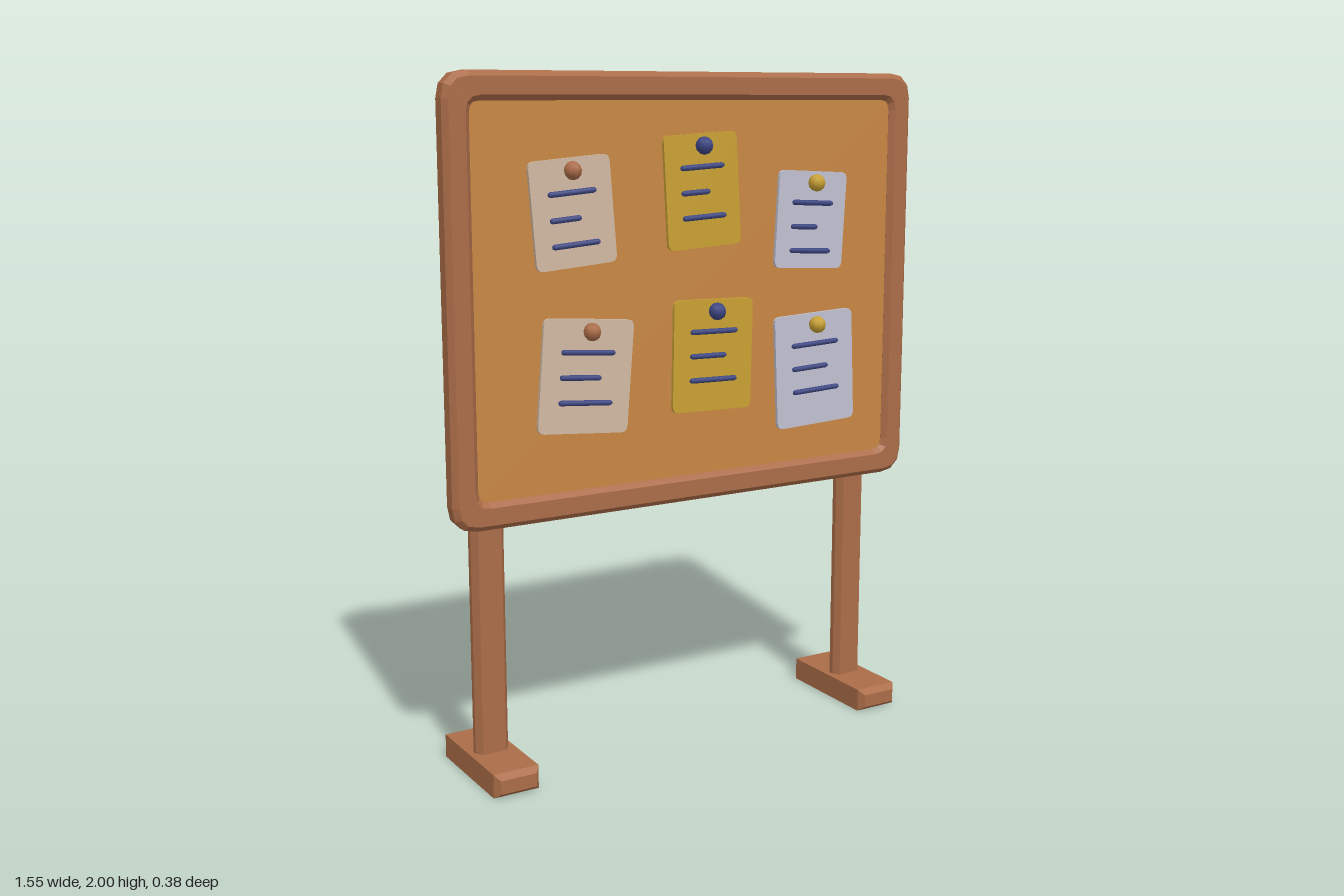
import * as THREE from 'three';

const mat = (name, color) => {
  const m = new THREE.MeshStandardMaterial({ color });
  m.name = name;
  return m;
};

// Rounded rectangle outline centred on the origin (plain rectangle when r = 0)
function roundedRect(w, h, r, PathType = THREE.Shape) {
  const p = new PathType();
  const x = w / 2, y = h / 2;
  p.moveTo(-x + r, -y);
  p.lineTo(x - r, -y);
  if (r) p.quadraticCurveTo(x, -y, x, -y + r);
  p.lineTo(x, y - r);
  if (r) p.quadraticCurveTo(x, y, x - r, y);
  p.lineTo(-x + r, y);
  if (r) p.quadraticCurveTo(-x, y, -x, y - r);
  p.lineTo(-x, -y + r);
  if (r) p.quadraticCurveTo(-x, -y, -x + r, -y);
  return p;
}

// Extrude along z, centred, with one chamfer step; depth is the total thickness
function extrude(shape, depth, bevel, bevelDepth = bevel) {
  const core = depth - 2 * bevelDepth;
  const g = new THREE.ExtrudeGeometry(shape, {
    depth: core, curveSegments: 3, bevelEnabled: bevel > 0,
    bevelSize: bevel, bevelThickness: bevelDepth, bevelSegments: 1,
  });
  return g.translate(0, 0, -core / 2);
}

export function createModel() {
  const model = new THREE.Group();
  model.name = 'noticeBoard';

  const wood = mat('wood', 0xab6c48);
  const cork = mat('cork', 0xc88743);
  const cream = mat('creamPaper', 0xd0b9a2);
  const yellow = mat('yellow', 0xc9a133);
  const pale = mat('palePaper', 0xc0c0d0);
  const blue = mat('blue', 0x3c4684);

  const add = (parent, name, geometry, material, x, y, z) => {
    const mesh = new THREE.Mesh(geometry, material);
    mesh.name = name;
    mesh.position.set(x, y, z);
    parent.add(mesh);
    return mesh;
  };

  // Posts and feet
  const postGeo = extrude(roundedRect(0.072, 1.87, 0), 0.056, 0.015, 0.02);
  const footGeo = extrude(roundedRect(0.11, 0.04, 0), 0.38, 0.015, 0.02);
  for (const [side, s] of [['left', 1], ['right', -1]]) {
    add(model, side + 'Post', postGeo, wood, s * 0.636, 0.99, 0);
    add(model, side + 'Foot', footGeo, wood, s * 0.636, 0.035, 0);
  }

  // Chamfered frame with a rounded opening
  const boardY = 1.377, boardZ = 0.072;
  const frameShape = roundedRect(1.516, 1.216, 0.06);
  frameShape.holes.push(roundedRect(1.42, 1.118, 0.045, THREE.Path));
  add(model, 'frame', extrude(frameShape, 0.066, 0.015), wood, 0, boardY, boardZ);

  // Cork panel set into the frame
  add(model, 'corkPanel', extrude(roundedRect(1.41, 1.108, 0.04), 0.035, 0),
    cork, 0, boardY, boardZ);

  // Notes: x, y, width, height, tilt, paper, pin, short line share of the width
  const notes = [
    [-0.396, 1.618, 0.25, 0.30, 0.08, cream, wood, 0.39],
    [0.022, 1.666, 0.245, 0.325, 0.055, yellow, blue, 0.39],
    [0.404, 1.568, 0.245, 0.29, -0.055, pale, yellow, 0.39],
    [-0.361, 1.159, 0.285, 0.325, -0.08, cream, wood, 0.46],
    [0.059, 1.186, 0.27, 0.33, -0.02, yellow, blue, 0.46],
    [0.427, 1.114, 0.285, 0.345, 0.045, pale, yellow, 0.46],
  ];
  const pinGeo = new THREE.SphereGeometry(0.026, 8, 6);
  const paperZ = 0.094, lineR = 0.008;
  for (const [x, y, w, h, tilt, paper, pin, short] of notes) {
    const note = new THREE.Group();
    note.name = 'note';
    note.position.set(x, y, paperZ);
    note.rotation.z = tilt;
    model.add(note);
    add(note, 'paper', extrude(roundedRect(w, h, 0.02), 0.012, 0), paper, 0, 0, 0);
    add(note, 'pin', pinGeo, pin, 0, h / 2 - 0.034, 0.024);

    // Written lines, the middle one shorter and aligned left
    [0.6, short, 0.6].forEach((share, i) => {
      const length = share * w;
      const g = new THREE.CapsuleGeometry(lineR, length - 2 * lineR, 2, 6).rotateZ(Math.PI / 2);
      add(note, 'writtenLine', g, blue,
        -0.3 * w + length / 2, h / 2 - 0.094 - i * 0.0715, 0.009);
    });
  }

  // Faceted pin heads
  for (const m of new Set([wood, blue, yellow])) m.flatShading = false;
  return model;
}
